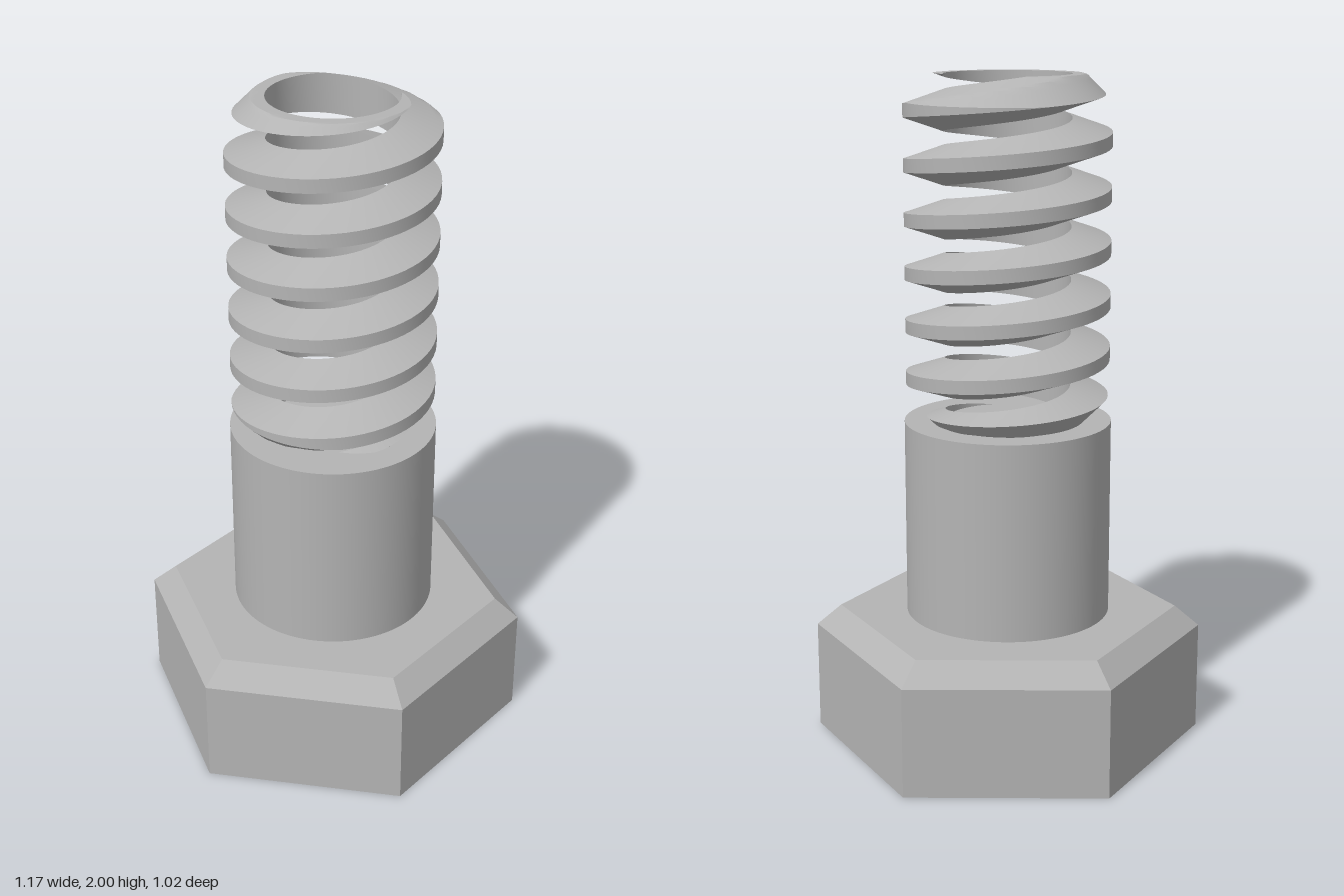
import * as THREE from 'three';
import { toCreasedNormals } from 'three/addons/utils/BufferGeometryUtils.js';

const BOTTOM = 0.985, TOP = 2;            // ends of the threaded length
const PITCH = 0.156;
const ROOT = 0.186, CREST = 0.302;        // thread radii
const ROOT_HALF = 0.0585, CREST_HALF = 0.02;
const CHAMFER = 0.225;                    // radius where the 45 degree end chamfers start

// Hollow coil thread: a trapezoid swept up a helix, trimmed by both ends and their chamfers
function threadGeometry() {
  const half = (r) => THREE.MathUtils.mapLinear(r, ROOT, CREST, ROOT_HALF, CREST_HALF);
  const cut = (r) => Math.max(0, r - CHAMFER);
  const upper = (r, yc) => Math.min(yc + half(r), TOP - cut(r));
  const lower = (r, yc) => Math.max(yc - half(r), BOTTOM + cut(r));

  // Largest radius at which the trimmed section still has thickness
  const outerRadius = (yc) => {
    if (upper(CREST, yc) >= lower(CREST, yc)) return CREST;
    let a = ROOT, b = CREST;
    for (let i = 0; i < 24; i++) {
      const m = (a + b) / 2;
      if (upper(m, yc) >= lower(m, yc)) a = m; else b = m;
    }
    return a;
  };

  const samples = 12, loop = samples * 2;
  const yStart = BOTTOM - ROOT_HALF, yEnd = TOP + ROOT_HALF;
  const sections = Math.round(((yEnd - yStart) / PITCH) * 64);
  const positions = [], index = [];

  for (let s = 0; s <= sections; s++) {
    const yc = yStart + ((yEnd - yStart) * s) / sections;
    const angle = ((yc - BOTTOM) / PITCH) * Math.PI * 2;
    const rMax = outerRadius(yc);
    for (let k = 0; k < loop; k++) {
      const onLower = k < samples;
      const f = (onLower ? k : loop - 1 - k) / (samples - 1);
      const r = ROOT + (rMax - ROOT) * f;
      const y = onLower ? lower(r, yc) : upper(r, yc);
      positions.push(r * Math.cos(angle), y, -r * Math.sin(angle));
    }
  }
  for (let s = 0; s < sections; s++) {
    for (let k = 0; k < loop; k++) {
      const a = s * loop + k, b = s * loop + ((k + 1) % loop);
      index.push(a, a + loop, b, b, a + loop, b + loop);
    }
  }
  const geo = new THREE.BufferGeometry();
  geo.setAttribute('position', new THREE.Float32BufferAttribute(positions, 3));
  geo.setIndex(index);
  return toCreasedNormals(geo, 0.35);
}

export function createModel() {
  const model = new THREE.Group();
  model.name = 'hexBolt';
  const steel = new THREE.MeshStandardMaterial({ color: 0xb4b4b4 });
  steel.name = 'steel grey';

  const add = (name, geometry) => {
    const mesh = new THREE.Mesh(geometry, steel);
    mesh.name = name;
    model.add(mesh);
    return mesh;
  };

  // Hexagonal head with a bevelled upper rim, corners on the x axis
  const headProfile = [[0, 0], [0.587, 0], [0.587, 0.33], [0.513, 0.393], [0, 0.393]]
    .map(([x, y]) => new THREE.Vector2(x, y));
  add('head', toCreasedNormals(new THREE.LatheGeometry(headProfile, 6, Math.PI / 6), 0.1));

  // Plain round shank
  const shankBase = 0.38;
  add('shank', new THREE.CylinderGeometry(0.308, 0.308, BOTTOM - shankBase, 96))
    .position.y = (BOTTOM + shankBase) / 2;

  // Coiled thread
  add('thread', threadGeometry());
  return model;
}
